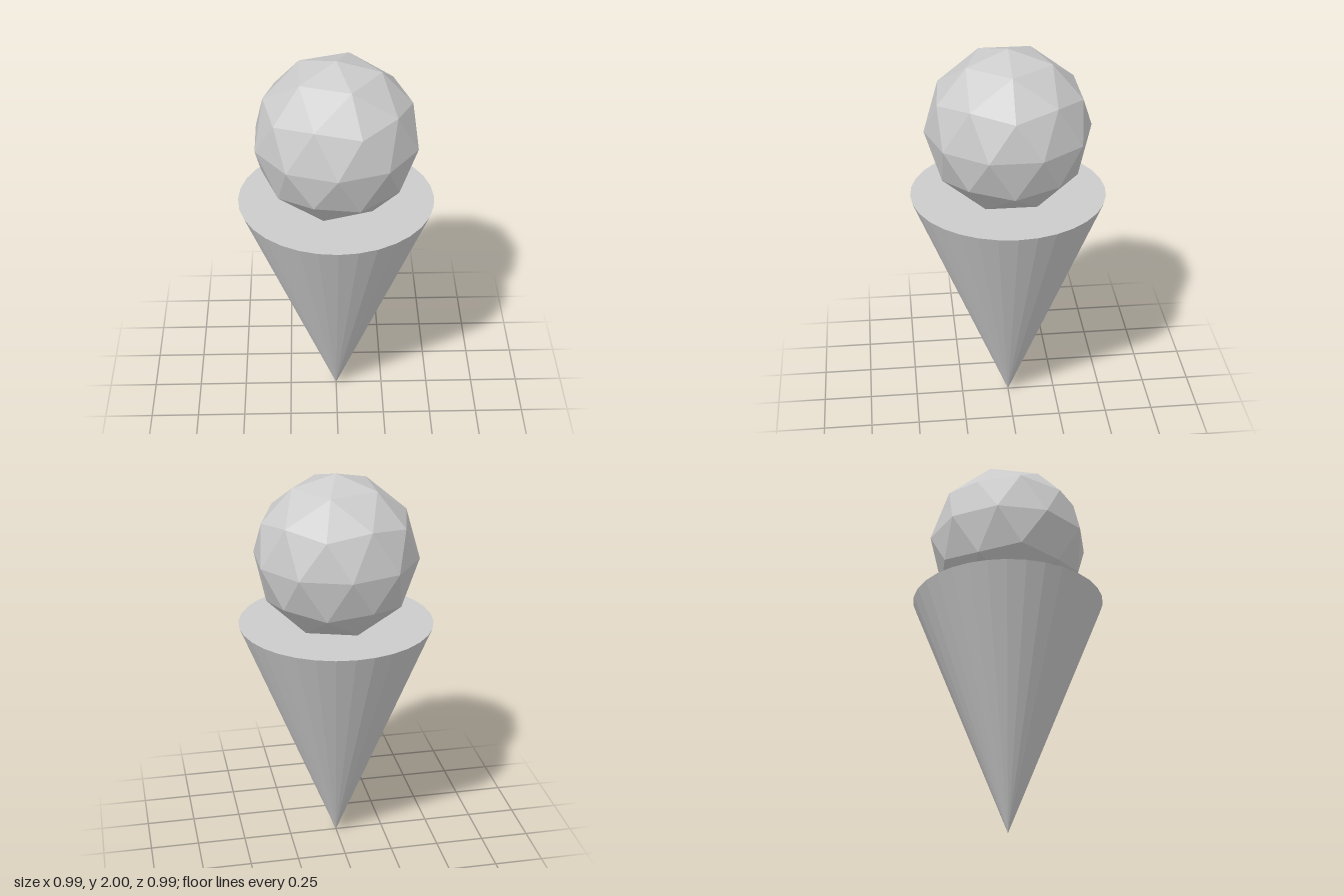
import * as THREE from 'three';

export function createModel() {
  const group = new THREE.Group();
  const material = new THREE.MeshStandardMaterial({ color: 0xcccccc, flatShading: true });

  const add = (name, geometry, y) => {
    const mesh = new THREE.Mesh(geometry, material);
    mesh.name = name;
    mesh.position.y = y;
    group.add(mesh);
  };

  // Cone: point down, closed flat top, 32 facets
  const coneHeight = 1.232;
  const coneRadius = 0.493;
  add('cone', new THREE.CylinderGeometry(coneRadius, 0, coneHeight, 32), coneHeight / 2);

  // Scoop: faceted ball, tilted so that a corner of the icosahedron points straight up
  const scoopRadius = 0.415;
  const scoop = new THREE.IcosahedronGeometry(scoopRadius, 1);
  const golden = (1 + Math.sqrt(5)) / 2;
  scoop.rotateZ(-Math.atan(1 / golden));
  scoop.computeVertexNormals();
  add('scoop', scoop, 2 - scoopRadius);

  return group;
}
